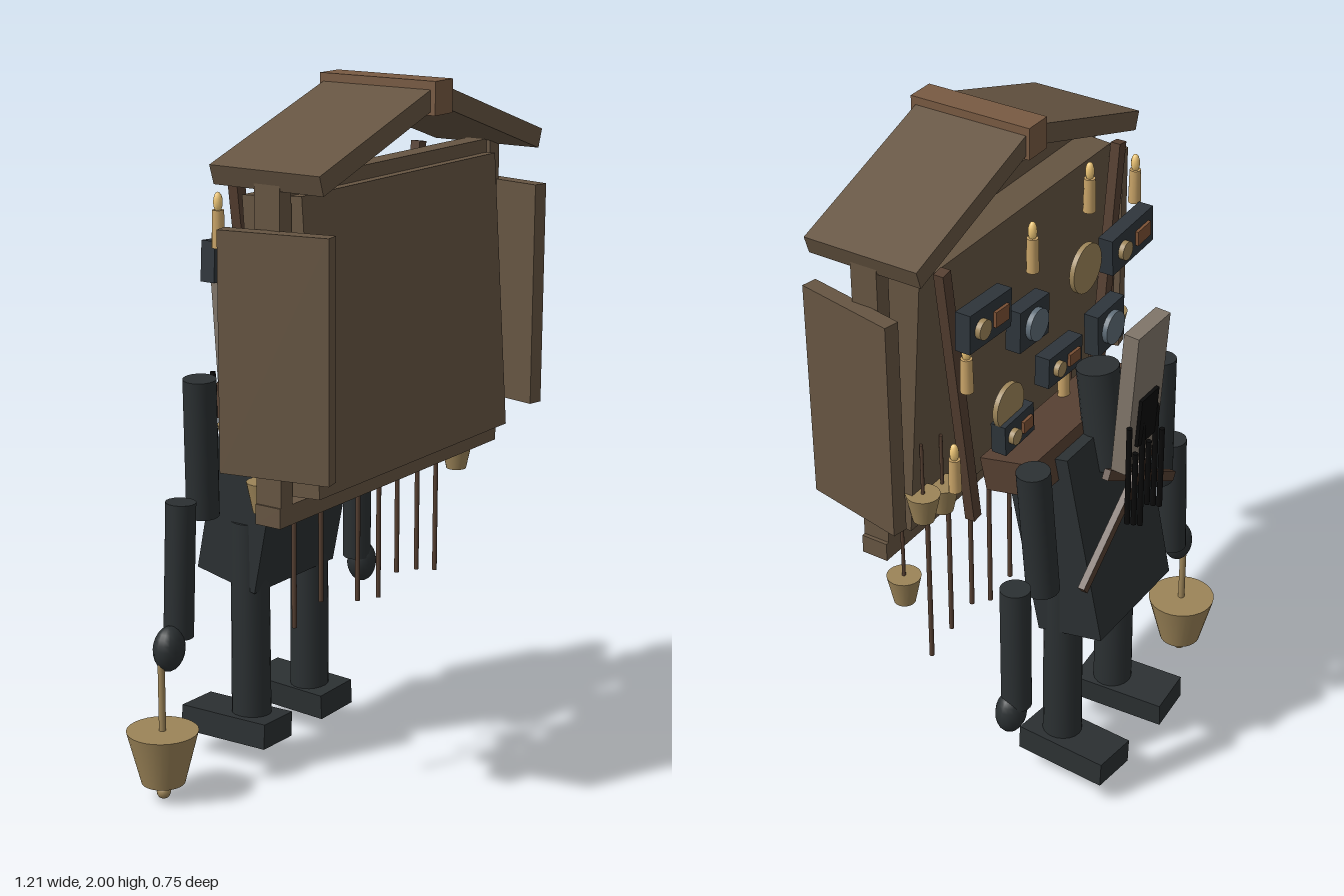
import * as THREE from 'three';

const mat = (color) => new THREE.MeshStandardMaterial({ color });
const WOOD = mat(0x665542), RIDGE = mat(0x785a42), BEAM = mat(0x553f31), CLOTH = mat(0x2b3032);
const BRASS = mat(0x9c8458), WAX = mat(0xc9a468), FLAME = mat(0xf0c878), CASE = mat(0x2e353b);
const GLASS = mat(0x5d6b76), BONE = mat(0x81766a), BLACK = mat(0x0a0a0a), COPPER = mat(0x7a5034);

export function createModel() {
  const root = new THREE.Group();

  const add = (name, geo, material, pos, rot = [0, 0, 0], parent = root) => {
    const m = new THREE.Mesh(geo, material);
    m.name = name;
    m.position.set(...pos);
    m.rotation.set(...rot);
    parent.add(m);
    return m;
  };
  const box = (name, size, material, pos, rot, parent) =>
    add(name, new THREE.BoxGeometry(...size), material, pos, rot, parent);
  const cyl = (name, rTop, rBottom, h, material, pos, rot, parent, sides = 20) =>
    add(name, new THREE.CylinderGeometry(rTop, rBottom, h, sides), material, pos, rot, parent);
  // Round bar between two points
  const rod = (name, a, b, r, material) => {
    const p = new THREE.Vector3(...a), q = new THREE.Vector3(...b);
    const m = cyl(name, r, r, p.distanceTo(q), material, p.clone().add(q).multiplyScalar(0.5).toArray());
    m.quaternion.setFromUnitVectors(new THREE.Vector3(0, 1, 0), q.sub(p).normalize());
    return m;
  };

  // Cabinet: leaning chest inside a frame
  box('cabinetChest', [0.93, 0.79, 0.19], WOOD, [0.01, 1.343, 0.178], [-0.07, 0, 0]);
  box('bottomBeam', [1.07, 0.055, 0.08], WOOD, [0.015, 0.905, 0.18]);
  box('topBeam', [0.95, 0.045, 0.06], WOOD, [0.01, 1.757, 0.18]);
  for (const s of [-1, 1]) {
    const x = 0.012 + s * 0.502;
    box('framePost', [0.05, 0.93, 0.08], WOOD, [x, 1.35, 0.18]);
    box('sideDoor', [0.045, 0.64, 0.31], WOOD, [0.01 + s * 0.54, 1.34, 0.22], [0, -s * 0.2, 0]);
    box('roofSlab', [0.545, 0.055, 0.345], WOOD, [0.012 + s * 0.272, 1.872, 0.18], [0, 0, -s * 0.32]);
    // Slanted strap behind the chest
    box('backStrap', [0.035, 0.83, 0.03], BEAM, [0.012 + s * 0.372, 1.352, 0.008], [0, 0, -s * 0.14]);
  }
  box('roofRidge', [0.085, 0.09, 0.37], RIDGE, [0.012, 1.955, 0.182]);

  // Thin rods hanging under the cabinet
  [[-0.29, 0.51], [-0.165, 0.55], [0.015, 0.5], [0.12, 0.48], [0.215, 0.53], [0.32, 0.51], [0.42, 0.48]]
    .forEach(([x, y]) => rod('hangingRod', [x, 0.96, 0.095], [x, y, 0.095], 0.007, BEAM));

  // Small brass cups on cords
  [[0.55, 0.81], [-0.53, 1.1], [-0.41, 0.915], [-0.3, 0.915], [0.45, 1.02], [0.36, 1.0]].forEach(([x, y]) => {
    cyl('hangingCup', 0.048, 0.03, 0.085, BRASS, [x, y, 0.085]);
    rod('cupCord', [x, y + 0.04, 0.085], [x, y + 0.2, 0.085], 0.005, BEAM);
  });

  // Instrument cases behind the chest, facing back: twin dials or one lens
  const instrument = (x, y, w, h, twin, roll) => {
    const g = new THREE.Group();
    g.name = 'instrument';
    g.position.set(x, y, -0.08);
    g.rotation.z = roll;
    root.add(g);
    box('instrumentCase', [w, h, 0.045], CASE, [0, 0, 0], [0, 0, 0], g);
    const r = h * (twin ? 0.25 : 0.38);
    cyl('dial', r, r, 0.02, twin ? BRASS : GLASS, [twin ? w * 0.24 : 0, 0, -0.028], [Math.PI / 2, 0, 0], g);
    if (twin) box('dialWindow', [w * 0.32, h * 0.4, 0.015], COPPER, [-w * 0.22, 0, -0.024], [0, 0, 0], g);
  };
  instrument(0.39, 1.63, 0.19, 0.11, true, 0.05);
  instrument(-0.32, 1.53, 0.22, 0.11, true, -0.06);
  instrument(0.03, 1.32, 0.17, 0.09, true, 0.04);
  instrument(0.26, 1.23, 0.14, 0.09, true, -0.04);
  instrument(0.185, 1.52, 0.14, 0.12, false, 0.04);
  instrument(-0.21, 1.31, 0.14, 0.13, false, -0.04);
  for (const [x, y, r] of [[-0.105, 1.54, 0.072], [0.28, 1.31, 0.065]])
    cyl('brassPlate', r, r, 0.015, BRASS, [x, y, -0.08], [Math.PI / 2, 0, 0], root, 28);

  // Candles
  [[-0.195, 1.71], [0.09, 1.66], [-0.44, 1.63], [0.405, 1.455], [0.47, 1.18], [-0.07, 1.18]].forEach(([x, y]) => {
    cyl('candle', 0.016, 0.018, 0.1, WAX, [x, y, -0.035], [0, 0, 0], root, 12);
    const f = add('candleFlame', new THREE.SphereGeometry(0.013, 10, 8), FLAME, [x, y + 0.07, -0.035]);
    f.scale.y = 2.1;
  });

  // Bearer: leaning body, yoke and neck
  box('torso', [0.385, 0.58, 0.21], CLOTH, [0.015, 0.834, -0.174], [0.2, 0, 0]);
  box('shoulderYoke', [0.59, 0.1, 0.17], BEAM, [0.015, 1.1, -0.1], [0.2, 0, 0]);
  cyl('neck', 0.06, 0.062, 0.3, CLOTH, [0.012, 1.18, -0.212], [0.13, 0, 0]);
  for (const s of [-1, 1]) {
    const at = (x) => 0.012 + s * x;
    rod('upperArm', [at(0.335), 1.18, -0.2], [at(0.31), 0.78, -0.215], 0.047, CLOTH);
    rod('forearm', [at(0.425), 0.85, -0.2], [at(0.435), 0.46, -0.208], 0.043, CLOTH);
    const hand = add('hand', new THREE.SphereGeometry(0.05, 16, 12), CLOTH, [s < 0 ? -0.475 : 0.462, 0.44, -0.2], [0, 0, s * 0.1]);
    hand.scale.set(1, 1.3, 0.85);
    cyl('leg', 0.055, 0.058, 0.6, CLOTH, [at(0.144), 0.43, -0.178]);
    box('foot', [0.145, 0.075, 0.29], CLOTH, [at(0.155), 0.107, -0.225], [0, -s * 0.06, s * 0.06]);
  }

  // Mask with a dark opening and hanging strands
  box('mask', [0.165, 0.44, 0.045], BONE, [0.012, 1.29, -0.327], [-0.07, 0, 0]);
  box('maskOpening', [0.09, 0.15, 0.02], BLACK, [0.012, 1.22, -0.345], [-0.07, 0, 0]);
  for (let i = 0; i < 6; i++) {
    const x = -0.078 + i * 0.036;
    rod('maskStrand', [x, 1.13 + (i % 2) * 0.1, -0.348], [x, 0.87 + (i % 3) * 0.025, -0.348], 0.008, BLACK);
  }

  // Crossed slats on the bearer's chest
  const slat = (x0, y0, x1, y1, z) => box('chestSlat', [Math.hypot(x1 - x0, y1 - y0), 0.03, 0.02], BEAM,
    [(x0 + x1) / 2, (y0 + y1) / 2, z], [0, 0, Math.atan2(y1 - y0, x1 - x0)]);
  slat(0.27, 0.78, -0.1, 1.07, -0.31);
  slat(-0.25, 0.85, 0.12, 1.07, -0.29);

  // Bucket lantern held in the right hand
  rod('lanternPole', [-0.505, 0.45, -0.205], [-0.505, 0.19, -0.205], 0.01, BRASS);
  cyl('lanternBucket', 0.102, 0.062, 0.155, BRASS, [-0.505, 0.128, -0.205], [0, 0, 0], root, 28);
  add('lanternKnob', new THREE.SphereGeometry(0.02, 14, 10), BRASS, [-0.505, 0.02, -0.205]);
  rod('lanternStem', [-0.505, 0.06, -0.205], [-0.505, 0.025, -0.205], 0.008, BRASS);

  return root;
}
